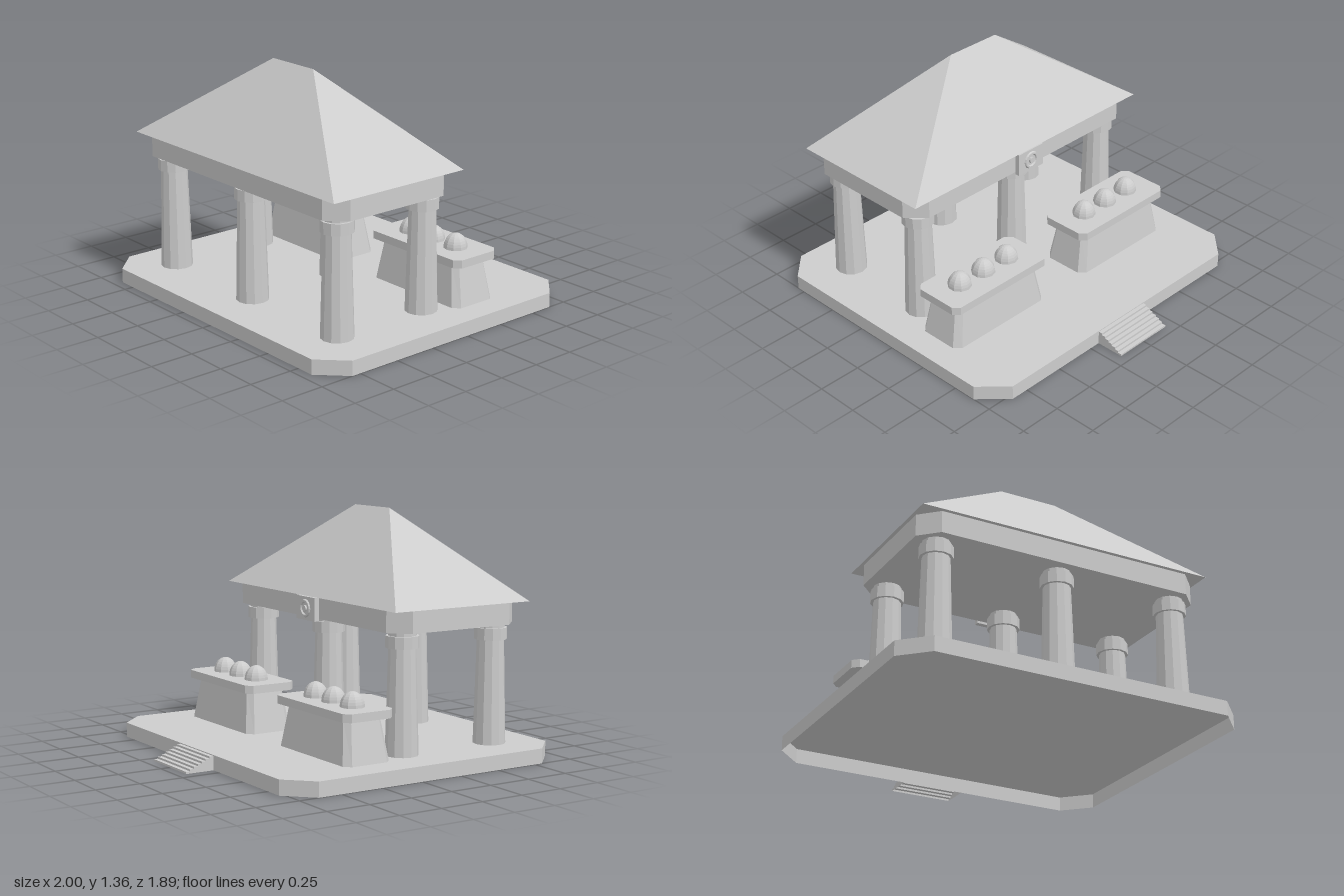
import * as THREE from 'three';

const stone = new THREE.MeshStandardMaterial({ color: 0xcccccc, flatShading: true, side: THREE.DoubleSide });
stone.name = 'stone grey';

export function createModel() {
  const model = new THREE.Group();
  model.name = 'marketPavilion';

  const add = (name, geometry, x = 0, y = 0, z = 0, parent = model) => {
    const mesh = new THREE.Mesh(geometry, stone);
    mesh.name = name;
    mesh.position.set(x, y, z);
    parent.add(mesh);
    return mesh;
  };

  // Keeps only the triangles whose three corners do not all pass the test
  const dropFaces = (geo, test) => {
    const p = geo.attributes.position, kept = [];
    for (let i = 0; i < p.count; i += 3) {
      const corners = [0, 1, 2].map((k) => new THREE.Vector3().fromBufferAttribute(p, i + k));
      if (!corners.every(test)) corners.forEach((c) => kept.push(c));
    }
    const open = new THREE.BufferGeometry().setFromPoints(kept);
    open.computeVertexNormals();
    return open;
  };
  const onGround = (c) => c.y < 1e-5;

  // Block with cut corners standing on y = 0; its top can be scaled to taper it
  const cutBlock = (hx, hz, cut, height, topX = 1, topZ = 1) => {
    const shape = new THREE.Shape([
      [hx - cut, -hz], [hx, cut - hz], [hx, hz - cut], [hx - cut, hz],
      [cut - hx, hz], [-hx, hz - cut], [-hx, cut - hz], [cut - hx, -hz],
    ].map(([x, y]) => new THREE.Vector2(x, y)));
    const geo = new THREE.ExtrudeGeometry(shape, { depth: height, bevelEnabled: false });
    geo.rotateX(-Math.PI / 2);
    const p = geo.attributes.position;
    for (let i = 0; i < p.count; i++) {
      if (p.getY(i) > height / 2) {
        p.setX(i, p.getX(i) * topX);
        p.setZ(i, p.getZ(i) * topZ);
      }
    }
    geo.computeVertexNormals();
    return geo;
  };

  // Platform, a shell open underneath
  const floorY = 0.083;
  add('platform', dropFaces(cutBlock(1, 0.863, 0.145, floorY), onGround), 0, 0, 0.083);

  // Back steps, a stepped shell open underneath and against the platform
  const steps = 7, run = 0.165 / steps, rise = 0.078 / steps;
  const profile = new THREE.Shape();
  profile.moveTo(0, 0);
  for (let i = 0; i < steps; i++) {
    profile.lineTo((steps - i) * run, i * rise);
    profile.lineTo((steps - i) * run, (i + 1) * rise);
  }
  profile.lineTo(0, steps * rise);
  const stairs = new THREE.ExtrudeGeometry(profile, { depth: 0.37, bevelEnabled: false });
  stairs.translate(0, 0, -0.185).rotateY(Math.PI / 2);
  const openStairs = dropFaces(dropFaces(stairs, onGround), (c) => c.z > -1e-5);
  add('backSteps', openStairs, 0, 0, -0.78);

  // Six columns with capitals
  const sides = 12;
  for (const x of [-0.715, 0, 0.715]) {
    for (const z of [0.07, 0.66]) {
      const column = new THREE.Group();
      column.name = 'column';
      column.position.set(x, 0, z);
      model.add(column);
      add('columnShaft', new THREE.CylinderGeometry(0.075, 0.091, 0.58, sides, 1, true), 0, floorY + 0.29, 0, column);
      add('columnCapital', new THREE.CylinderGeometry(0.091, 0.091, 0.065, sides), 0, 0.694, 0, column);
      add('columnNeck', new THREE.CylinderGeometry(0.077, 0.077, 0.026, sides, 1, true), 0, 0.738, 0, column);
    }
  }

  // Beam block under the roof
  add('beam', cutBlock(0.845, 0.42, 0.1, 0.122), 0, 0.75, 0.364);

  // Hipped roof: a box whose top is pinched into a ridge
  const roof = new THREE.BoxGeometry(1.73, 0.483, 0.888).toNonIndexed();
  const rp = roof.attributes.position;
  for (let i = 0; i < rp.count; i++) {
    if (rp.getY(i) > 0) {
      rp.setX(i, Math.sign(rp.getX(i)) * 0.17);
      rp.setZ(i, 0);
    }
  }
  roof.computeVertexNormals();
  add('roof', roof, 0, 1.1135, 0.363);

  // Round badge on the back of the beam
  const badge = new THREE.Group();
  badge.name = 'badge';
  badge.position.set(0, 0.802, -0.055);
  model.add(badge);
  add('badgePlate', new THREE.BoxGeometry(0.19, 0.132, 0.03), 0, 0, -0.015, badge);
  add('badgeRing', new THREE.TorusGeometry(0.042, 0.01, 6, 16), 0, 0, -0.03, badge);
  const boss = new THREE.CylinderGeometry(0.018, 0.018, 0.014, 10).rotateX(Math.PI / 2);
  add('badgeBoss', boss, 0, 0, -0.034, badge);

  // Two counters, each with three faceted domes
  const domeProfile = [];
  for (let i = 0; i <= 8; i++) {
    const a = (i / 8) * Math.PI / 2;
    domeProfile.push(new THREE.Vector2(0.067 * Math.cos(a), 0.083 * Math.sin(a)));
  }
  for (const x of [-0.485, 0.505]) {
    const counter = new THREE.Group();
    counter.name = x < 0 ? 'rightCounter' : 'leftCounter';
    counter.position.set(x, 0, -0.212);
    model.add(counter);
    const base = cutBlock(0.342, 0.145, 0.036, 0.235, 0.865, 0.79);
    add('counterBase', dropFaces(base, onGround), 0, floorY, 0, counter);
    add('counterTop', cutBlock(0.354, 0.156, 0.035, 0.046), 0, 0.317, 0, counter);
    for (const dx of [-0.178, 0, 0.178]) {
      add('dome', new THREE.LatheGeometry(domeProfile, 10), dx, 0.363, 0, counter);
    }
  }

  return model;
}
